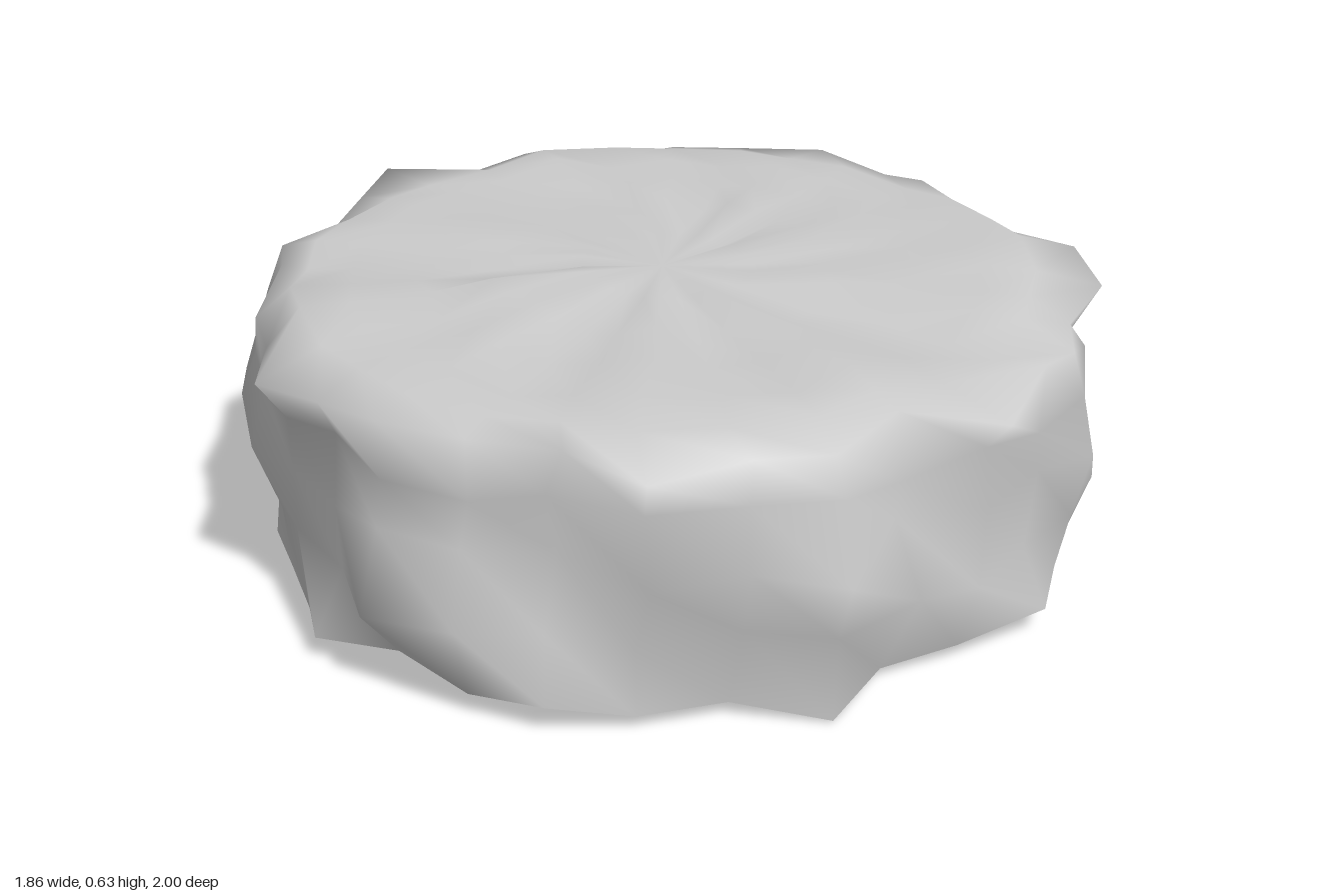
import * as THREE from 'three';

const SEGMENTS = 32;

// Widest reach of the rocky wall, one value per angular step starting at +z and turning to +x
const REACH = [
  1.0, 0.92, 0.975, 0.955, 0.98, 0.955, 0.96, 0.94,
  0.93, 0.935, 0.955, 0.97, 0.98, 1.0, 1.045, 0.93,
  1.0, 0.965, 1.005, 0.95, 0.93, 0.93, 0.925, 0.92,
  0.92, 0.955, 0.95, 0.98, 0.975, 0.95, 0.98, 0.945,
];

// Rings from the middle of the top, over the rim and down the wall: [radius share, height]
const TOP_RINGS = [[0.2, 0.612], [0.4, 0.612], [0.58, 0.61], [0.74, 0.608], [0.86, 0.605]];
const WALL_RINGS = [[0.97, 0.575], [0.97, 0.48], [0.97, 0.35], [0.97, 0.19], [0.96, 0.04]];

// Repeatable noise in -1..1
function noise(a, b) {
  const s = Math.sin(a * 127.1 + b * 311.7 + 4.2) * 43758.5453;
  return 2 * (s - Math.floor(s)) - 1;
}

function topVertex(i, ring, [share, height]) {
  const ridge = 0.55 * noise(i, 50) + 0.45 * noise(i, ring);
  const r = share * (REACH[i] * 0.5 + 0.46) + 0.015 * noise(i, ring + 20);
  return [r, height + 0.03 * ridge * Math.min(1, share / 0.4)];
}

function wallVertex(i, ring, [share, height]) {
  // One ring per column juts out to the full reach, the others sit back
  const peak = i === 0 ? 2 : i === 16 ? 0 : Math.floor((noise(i, 90) + 1) * 2.5);
  const r = ring === peak ? REACH[i] : REACH[i] * share - 0.035 - 0.03 * noise(i, ring + 30);
  const wave = i / SEGMENTS * Math.PI * 2;
  const lift = ring === 4
    ? 0.024 * Math.sin(wave * 4 - 1.3) + 0.016 * noise(i, 70)
    : 0.025 * noise(i, ring + 40);
  return [r, height + lift];
}

function rockGeometry() {
  const positions = [0, 0.61, 0];
  const index = [];
  const addRing = (ring, spec, place) => {
    for (let i = 0; i < SEGMENTS; i++) {
      const [r, y] = place(i, ring, spec);
      const a = (i / SEGMENTS) * Math.PI * 2 + 0.025 * noise(i, ring + 60) * (i % 16 ? 1 : 0);
      positions.push(Math.sin(a) * r, Math.max(0, y), Math.cos(a) * r);
    }
  };
  TOP_RINGS.forEach((spec, k) => addRing(k, spec, topVertex));
  WALL_RINGS.forEach((spec, k) => addRing(k, spec, wallVertex));

  const rings = TOP_RINGS.length + WALL_RINGS.length;
  for (let i = 0; i < SEGMENTS; i++) {
    const j = (i + 1) % SEGMENTS;
    index.push(0, 1 + i, 1 + j);
    for (let k = 0; k < rings - 1; k++) {
      const a = 1 + k * SEGMENTS, b = a + SEGMENTS;
      index.push(a + i, b + i, b + j, a + i, b + j, a + j);
    }
  }

  const geometry = new THREE.BufferGeometry();
  geometry.setAttribute('position', new THREE.Float32BufferAttribute(positions, 3));
  geometry.setIndex(index);
  geometry.computeVertexNormals();
  return geometry;
}

export function createModel() {
  const group = new THREE.Group();
  group.name = 'rockPlatform';

  // Hollow shell: rugged top and wall, open underneath
  const material = new THREE.MeshStandardMaterial({ color: 0xcccccc, side: THREE.DoubleSide });
  const shell = new THREE.Mesh(rockGeometry(), material);
  shell.name = 'rockShell';
  group.add(shell);
  return group;
}
